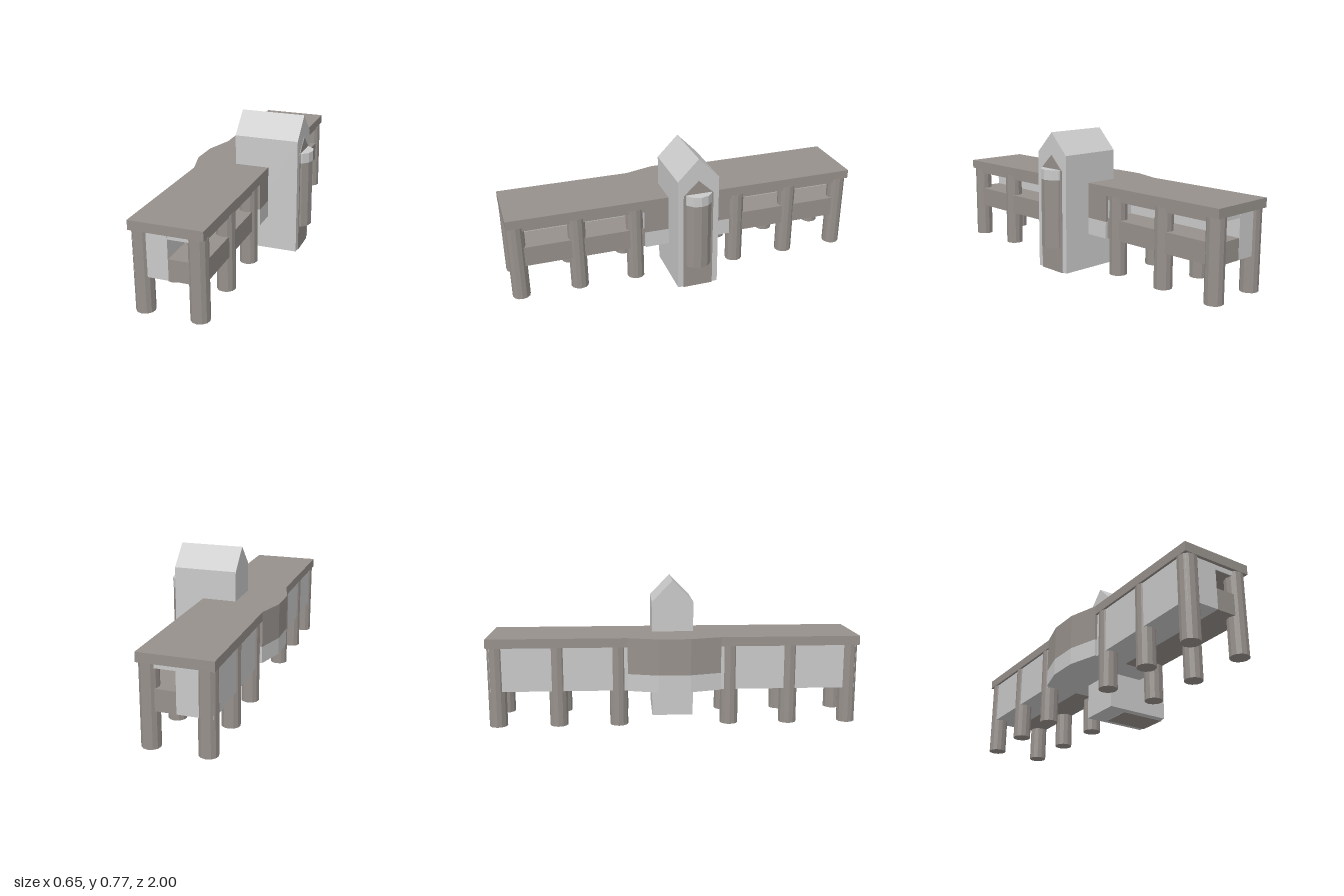
import * as THREE from 'three';

const stone = new THREE.MeshStandardMaterial({ color: 0x97918c });
stone.name = 'warm stone';
const plaster = new THREE.MeshStandardMaterial({ color: 0xcacaca });
plaster.name = 'pale plaster';

export function createModel() {
  const model = new THREE.Group();
  model.name = 'pavilion';

  function add(name, geometry, material) {
    const mesh = new THREE.Mesh(geometry, material);
    mesh.name = name;
    model.add(mesh);
    return mesh;
  }

  // Box given by its limits on each axis
  function box(name, material, [x0, x1], [y0, y1], [z0, z1]) {
    const g = new THREE.BoxGeometry(x1 - x0, y1 - y0, z1 - z0);
    g.translate((x0 + x1) / 2, (y0 + y1) / 2, (z0 + z1) / 2);
    return add(name, g, material);
  }

  const outline = (pts) => new THREE.Shape(pts.map(([x, y]) => new THREE.Vector2(x, y)));

  // Plan outline (x, z) raised from y0 to y1
  function raised(name, material, pts, y0, y1) {
    const g = new THREE.ExtrudeGeometry(outline(pts), { depth: y1 - y0, bevelEnabled: false });
    g.rotateX(-Math.PI / 2).translate(0, y0, 0);
    return add(name, g, material);
  }

  // Gabled block: profile in (z, y), running along x
  function gabled(name, material, half, base, eave, ridge, x0, x1) {
    const pts = [[-half, base], [half, base], [half, eave], [0, ridge], [-half, eave]];
    const g = new THREE.ExtrudeGeometry(outline(pts), { depth: x1 - x0, bevelEnabled: false });
    g.rotateY(Math.PI / 2).translate(x0, 0, 0);
    return add(name, g, material);
  }

  // Flat roof with the bowed bay on the right side
  const bay = [[-0.278, 0.25], [-0.278, -0.25], [-0.325, -0.085], [-0.325, 0.085]];
  raised('roofSlab', stone, [
    [-0.278, -1], [0.105, -1], [0.105, 1], [-0.278, 1],
    [-0.278, 0.25], [-0.325, 0.085], [-0.325, -0.085], [-0.278, -0.25],
  ], 0.435, 0.485);

  // Central block, pale below and stone above
  const centre = [[0.105, -0.25], [0.105, 0.25], bay[0], bay[3], bay[2], bay[1]];
  raised('centreBase', plaster, centre, 0.197, 0.29);
  raised('centreUpper', stone, centre, 0.29, 0.435);

  for (const s of [1, -1]) {
    const span = (a, b) => [Math.min(s * a, s * b), Math.max(s * a, s * b)];
    // Closed corridor, open gallery with parapet and lintel
    box('corridor', plaster, [-0.265, -0.085], [0.197, 0.435], span(0.25, 0.983));
    box('parapet', stone, [-0.085, 0.09], [0.197, 0.309], span(0.25, 0.982));
    box('lintel', stone, [-0.085, 0.09], [0.409, 0.435], span(0.25, 0.978));
    box('lintelEnd', plaster, [-0.085, 0.09], [0.409, 0.435], span(0.978, 0.982));
    box('galleryEndWall', plaster, [-0.085, 0.09], [0.309, 0.409], span(0.25, 0.255));

    // Columns in two rows
    for (const z of [0.3, 0.625, 0.951]) {
      for (const x of [-0.229, 0.058]) {
        const g = new THREE.CylinderGeometry(0.049, 0.049, 0.432, 12).toNonIndexed();
        g.computeVertexNormals();
        add('column', g, stone).position.set(x, 0.219, s * z);
      }
    }
  }

  // Gabled tower with a stone core showing on its outer face and underside
  gabled('tower', plaster, 0.115, 0.003, 0.65, 0.767, -0.085, 0.27);
  gabled('towerCore', stone, 0.083, 0, 0.565, 0.644, 0.022, 0.274);

  // Half-round turret with a pale cap
  function turret(name, material, r, y0, y1) {
    const g = new THREE.CylinderGeometry(r, r, y1 - y0, 12).toNonIndexed();
    g.computeVertexNormals();
    add(name, g, material).position.set(0.244, (y0 + y1) / 2, 0);
  }
  turret('turret', stone, 0.079, 0.138, 0.515);
  turret('turretCap', plaster, 0.081, 0.515, 0.57);

  return model;
}
